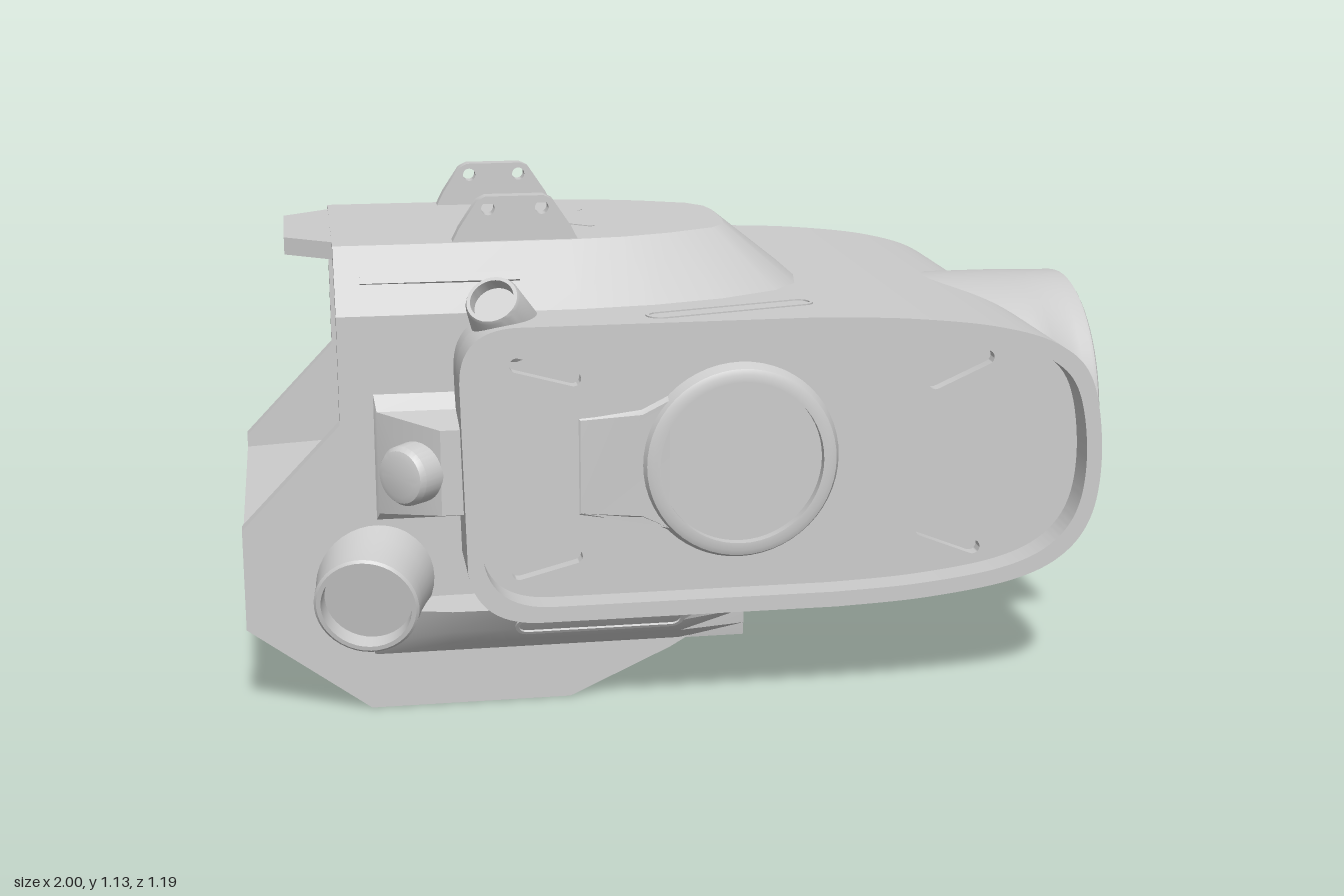
import * as THREE from 'three';
import { toCreasedNormals } from 'three/addons/utils/BufferGeometryUtils.js';

const V3 = (x, y, z) => new THREE.Vector3(x, y, z);
const poly = pts => new THREE.Shape(pts.map(p => new THREE.Vector2(p[0], p[1])));

// Outward winding (by signed volume) and creased normals for any closed solid
function finish(geo) {
  const g = geo.index ? geo.toNonIndexed() : geo.clone();
  g.deleteAttribute('uv');
  const p = g.attributes.position, a = V3(), b = V3(), c = V3();
  let vol = 0;
  for (let i = 0; i < p.count; i += 3) {
    a.fromBufferAttribute(p, i); b.fromBufferAttribute(p, i + 1); c.fromBufferAttribute(p, i + 2);
    vol += a.dot(b.cross(c));
  }
  if (vol < 0) for (let i = 0; i < p.count; i += 3) {
    b.fromBufferAttribute(p, i + 1); c.fromBufferAttribute(p, i + 2);
    p.setXYZ(i + 1, c.x, c.y, c.z); p.setXYZ(i + 2, b.x, b.y, b.z);
  }
  g.deleteAttribute('normal');
  g.computeVertexNormals();
  return toCreasedNormals(g, 0.55);
}

// Outline in x,y pulled out from z0 to z1
const extrude = (shape, z0, z1) => new THREE.ExtrudeGeometry(shape,
  { depth: z1 - z0, bevelEnabled: false, curveSegments: 14 }).translate(0, 0, z0);

// Profile [radius, distance] turned about an axis through pos along dir
const turned = (pts, pos, dir, seg = 40) => new THREE.LatheGeometry(pts.map(p => new THREE.Vector2(p[0], p[1])), seg)
  .applyQuaternion(new THREE.Quaternion().setFromUnitVectors(V3(0, 1, 0), V3(...dir).normalize()))
  .translate(...pos);

// Solid through equal-length loops of points, capped at both ends
function loft(loops) {
  const n = loops[0].length, pos = loops.flat(2), idx = [];
  for (let k = 0; k < loops.length - 1; k++) for (let i = 0; i < n; i++) {
    const j = (i + 1) % n, a = k * n + i, b = k * n + j;
    idx.push(a, b, b + n, a, b + n, a + n);
  }
  const e = (loops.length - 1) * n;
  for (let i = 1; i < n - 1; i++) idx.push(0, i + 1, i, e, e + i, e + i + 1);
  const g = new THREE.BufferGeometry();
  g.setAttribute('position', new THREE.Float32BufferAttribute(pos, 3));
  g.setIndex(idx);
  return g;
}

// Round-ended slot path
function slot(path, cx, cy, len, r, ang) {
  const h = len / 2 - r, dx = Math.cos(ang) * h, dy = Math.sin(ang) * h;
  path.absarc(cx + dx, cy + dy, r, ang - Math.PI / 2, ang + Math.PI / 2);
  path.absarc(cx - dx, cy - dy, r, ang + Math.PI / 2, ang + Math.PI * 1.5);
  path.closePath();
  return path;
}
function slotFrame(cx, cy, len, r, ang) {
  const s = slot(new THREE.Shape(), cx, cy, len, r, ang);
  s.holes.push(slot(new THREE.Path(), cx, cy, len - 0.016, r - 0.008, ang));
  return s;
}

// Side housing outline, inset by k
function outline(path, k) {
  const P = (x, y) => [0.185 + (x - 0.185) * (1 - k / 0.715), 0.57 + (y - 0.57) * (1 - k / 0.33)];
  path.moveTo(...P(-0.53, 0.78));
  path.quadraticCurveTo(...P(-0.53, 0.9), ...P(-0.4, 0.9));
  path.lineTo(...P(0.25, 0.9));
  path.splineThru([[0.45, 0.89], [0.65, 0.865], [0.79, 0.82], [0.87, 0.74], [0.9, 0.58], [0.885, 0.43],
    [0.82, 0.335], [0.7, 0.28], [0.5, 0.25], [0.3, 0.24]].map(p => new THREE.Vector2(...P(...p))));
  path.lineTo(...P(-0.36, 0.24));
  path.quadraticCurveTo(...P(-0.5, 0.24), ...P(-0.52, 0.36));
  path.closePath();
  return path;
}

export function createModel() {
  const group = new THREE.Group();
  const mat = new THREE.MeshStandardMaterial({ color: 0xcccccc });
  const add = (name, geo) => {
    const m = new THREE.Mesh(finish(geo), mat);
    m.name = name;
    group.add(m);
  };
  const pair = (name, geo) => {
    add(name + 'Left', geo);
    add(name + 'Right', geo.clone().scale(1, 1, -1));
  };

  // Wide housing with rims, slotted panels and round covers at both ends
  add('housing', extrude(outline(new THREE.Shape(), 0), -0.5, 0.5));
  const rim = outline(new THREE.Shape(), 0);
  rim.holes.push(new THREE.Path(outline(new THREE.Path(), 0.035).getPoints(14).reverse()));
  pair('housingRim', extrude(rim, 0.49, 0.597));
  const panel = outline(new THREE.Shape(), 0.03);
  for (const [x, y, a] of [[-0.34, 0.785, -0.27], [0.59, 0.755, 0.42], [-0.34, 0.35, 0.25], [0.57, 0.365, -0.38]])
    panel.holes.push(slot(new THREE.Path(), x, y, 0.16, 0.016, a));
  pair('sidePanel', extrude(panel, 0.49, 0.53));
  pair('coverRing', turned([[0, 0], [0.225, 0], [0.212, 0.03], [0.2, 0.035], [0.183, 0.035], [0.183, 0.012], [0, 0.012]],
    [0.09, 0.57, 0.525], [0, 0, 1], 56));
  const arm = (z, w, lift) => [[-0.28 + w, 0.45 + w, z], [-0.13, 0.44 + w, z + lift], [-0.07, 0.41 + w, z + lift],
    [-0.07, 0.73 - w, z + lift], [-0.13, 0.7 - w, z + lift], [-0.28 + w, 0.69 - w, z]];
  pair('coverArm', loft([arm(0.52, 0, 0), arm(0.533, 0.015, 0.01)]));

  // Round port at the +x end, blended sideways into the housing
  const prof = [[0, 0.35]];
  for (let i = 0; i <= 26; i++) prof.push([0.318, 0.35 + i * 0.0245]);
  prof.push([0.316, 0.995], [0.308, 1], [0.28, 1], [0.272, 0.992], [0.27, 0.945], [0, 0.94]);
  const port = turned(prof, [0, 0.548, 0], [1, 0, 0], 64), pp = port.attributes.position;
  for (let i = 0; i < pp.count; i++) {
    const s = THREE.MathUtils.clamp((0.985 - pp.getX(i)) / 0.13, 0, 1);
    pp.setZ(i, pp.getZ(i) * (1 + 0.28 * s * s));
  }
  add('port', port);

  // Lower chassis, core and thin walls around the open bay at the -x end
  add('chassis', extrude(poly([[-1, 0.2], [-0.73, 0], [-0.28, 0], [-0.05, 0.105], [0.2, 0.25], [0.2, 0.3], [-0.6, 0.42], [-1, 0.4]]), -0.43, 0.43));
  add('core', new THREE.BoxGeometry(0.74, 0.52, 0.86).translate(-0.27, 0.64, 0));
  pair('bayWall', extrude(poly([[-1, 0.38], [-1, 0.43], [-0.78, 0.66], [-0.78, 0.9], [-0.6, 0.9], [-0.6, 0.38]]), 0.39, 0.43));
  const arch = poly([[-0.43, 0.6], [-0.43, 0.9], [-0.29, 1.03], [0.29, 1.03], [0.43, 0.9], [0.43, 0.6],
    [0.39, 0.6], [0.39, 0.88], [0.27, 0.99], [-0.27, 0.99], [-0.39, 0.88], [-0.39, 0.6]]);
  add('bayArch', extrude(arch, -0.78, -0.63).rotateY(Math.PI / 2));

  // Hood with sloping sides, and its overhanging visor
  const half = (pts, y) => [...pts.map(([x, z]) => [x, y, z]), ...pts.slice().reverse().map(([x, z]) => [x, y, -z])];
  add('hood', loft([
    half([[-0.64, 0.43], [-0.25, 0.43], [-0.08, 0.41], [0.08, 0.365], [0.22, 0.29], [0.28, 0.21], [0.3, 0.1]], 0.898),
    half([[-0.64, 0.29], [-0.25, 0.285], [-0.13, 0.27], [-0.02, 0.235], [0.09, 0.18], [0.125, 0.13], [0.135, 0.07]], 1.03)]));
  add('visor', extrude(poly([[-0.885, -0.15], [-0.78, -0.23], [-0.6, -0.23], [-0.6, 0.23], [-0.78, 0.23], [-0.885, 0.15]]), -0.029, 0.01)
    .rotateX(Math.PI / 2).translate(0, 1, 0));
  add('crossMark', loft([0.028, 0.032].map(h => Array.from({ length: 16 }, (_, i) => {
    const a = (Math.floor(i / 4) * 2 + 1) * Math.PI / 4, k = i % 4;
    const [u, v] = [[0.05, -0.016], [0.17, -0.007], [0.17, 0.007], [0.05, 0.016]][k];
    return [-0.3 + Math.cos(a) * u - Math.sin(a) * v, 1 + h, Math.sin(a) * u + Math.cos(a) * v];
  }))));
  pair('hoodSlit', new THREE.BoxGeometry(0.35, 0.006, 0.022).rotateX(0.748).translate(-0.55, 0.965, 0.36));

  // Upright brackets with two holes each
  const bracket = poly([[-0.52, 1.02], [-0.5, 1.06], [-0.46, 1.12], [-0.44, 1.13], [-0.31, 1.13], [-0.29, 1.12], [-0.25, 1.06], [-0.23, 1.02]]);
  for (const x of [-0.435, -0.315]) bracket.holes.push(new THREE.Path().absarc(x, 1.103, 0.015, 0, Math.PI * 2));
  pair('topBracket', extrude(bracket, 0.24, 0.278));

  // Slots on top of the housing and along the lower fairing
  pair('topSlot', extrude(slotFrame(0.075, 0.48, 0.4, 0.032, -0.26), -0.003, 0.005)
    .rotateX(Math.PI / 2).translate(0, 0.9, 0));
  const fairing = (x, k) => [[0.4, 0.12], [0.428, 0.125], [0.43 + 0.03 * k, 0.155], [0.43 + 0.06 * k, 0.19],
    [0.43 + 0.1 * k, 0.25], [0.4, 0.26]].map(([z, y]) => [x, y, z]);
  pair('lowerFairing', loft([fairing(-0.72, 0.5), fairing(-0.55, 0.95), fairing(-0.4, 1), fairing(-0.03, 1), fairing(0.12, 0.1)]));
  pair('lowerSlot', extrude(slotFrame(-0.22, 0, 0.38, 0.028, 0), -0.005, 0.004).rotateX(0.58).translate(0, 0.2, 0.497));

  // Keel under the housing with a round dish
  const keel = (x, y, b, t) => [[x, y, -b], [x, y, b], [x, 0.34, t], [x, 0.34, -t]];
  add('keel', loft([keel(-0.15, 0.06, 0.19, 0.4), keel(-0.05, 0.105, 0.19, 0.36), keel(0.2, 0.175, 0.19, 0.3), keel(0.52, 0.255, 0.17, 0.2)]));
  add('keelDish', turned([[0, -0.02], [0.1, -0.02], [0.1, 0.004], [0.088, 0.004], [0.08, 0.001], [0, 0.001]],
    [0.18, 0.168, 0], [0.27, -0.96, 0]));

  // Lamps, angled knobs on faceted mounts, and upper tubes
  pair('lamp', turned([[0, -0.12], [0.135, -0.12], [0.125, -0.07], [0.118, -0.02], [0.116, 0.015], [0.11, 0.02], [0.1, 0.02], [0.098, -0.02], [0, -0.02]],
    [-0.735, 0.277, 0.51], [-0.2, -0.2, 1]));
  const rect = (x0, x1, y0, y1, z) => [[x0, y0, z], [x1, y0, z], [x1, y1, z], [x0, y1, z]];
  pair('knobMount', loft([rect(-0.71, -0.505, 0.43, 0.75, 0.42), rect(-0.7, -0.505, 0.46, 0.69, 0.445), rect(-0.57, -0.505, 0.48, 0.67, 0.55)]));
  pair('knob', turned([[0, -0.1], [0.07, -0.1], [0.066, 0], [0.058, 0.012], [0.045, 0.016], [0, 0.016]],
    [-0.65, 0.57, 0.54], [-0.7, 0, 0.72], 32));
  pair('upperTube', turned([[0, -0.16], [0.08, -0.16], [0.07, -0.08], [0.06, 0], [0.056, 0.008], [0.048, 0.008], [0.046, -0.02], [0, -0.02]],
    [-0.45, 0.945, 0.53], [-0.3, 0.65, 0.62], 32));

  return group;
}
